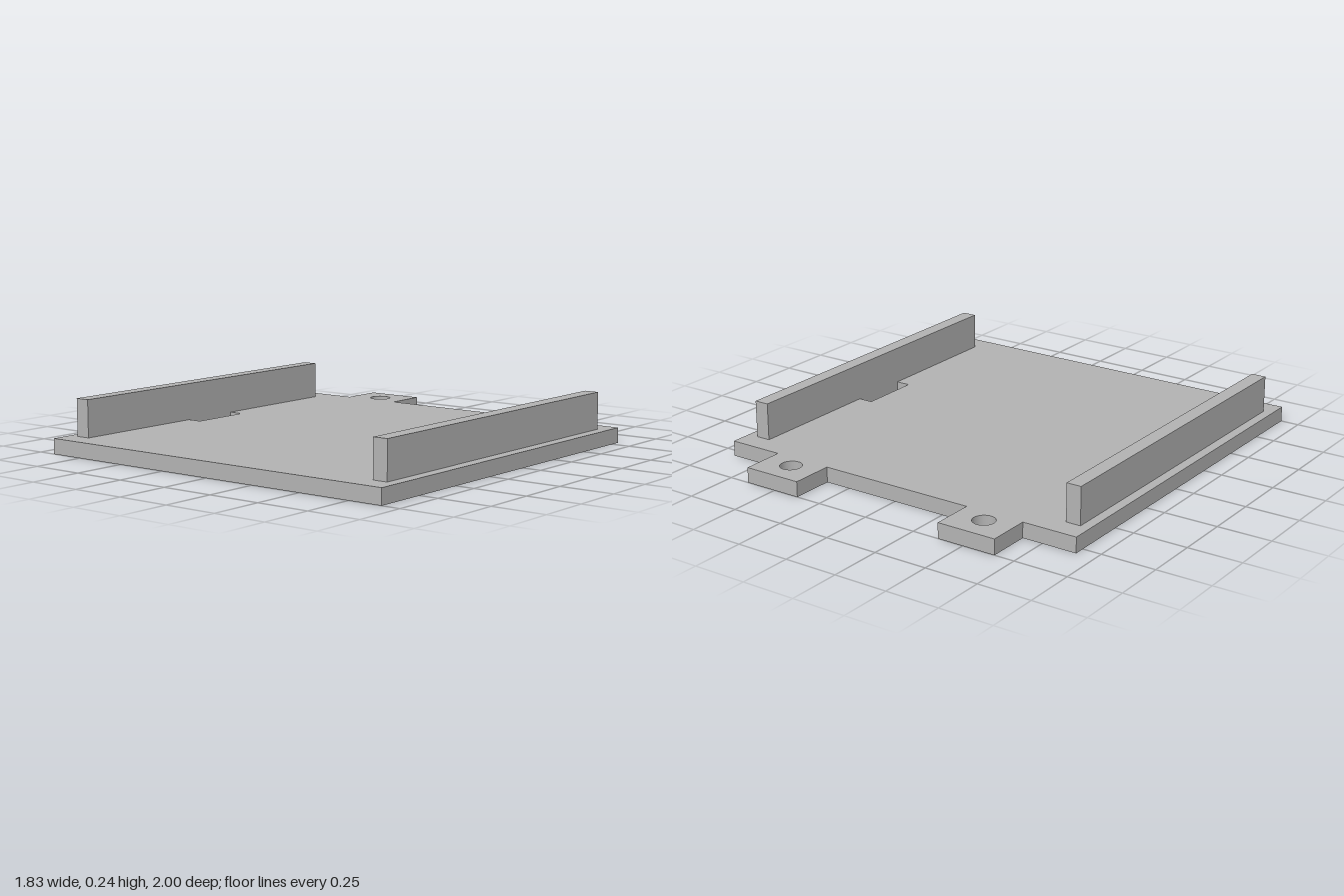
import * as THREE from 'three';

const PLATE_H = 0.071, RAIL_TOP = 0.243;

// Rectangular hole; shape coordinates are (x, -z)
function rectHole(x0, x1, z0, z1) {
  return new THREE.Path([[x0, z0], [x1, z0], [x1, z1], [x0, z1]].map(([x, z]) => new THREE.Vector2(x, -z)));
}

function roundHole(x, z, r) {
  const path = new THREE.Path();
  path.absarc(x, -z, r, 0, Math.PI * 2, true);
  return path;
}

export function createModel() {
  const model = new THREE.Group();
  model.name = 'mountingTray';
  const grey = new THREE.MeshStandardMaterial({ color: 0xb2b2b2 });
  grey.name = 'grey';

  // Base plate with two rear tabs
  const outline = [
    [-0.913, 1], [0.913, 1], [0.913, -0.8],
    [0.651, -0.8], [0.651, -1], [0.371, -1], [0.371, -0.8],
    [-0.376, -0.8], [-0.376, -1], [-0.656, -1], [-0.656, -0.8],
    [-0.913, -0.8],
  ];
  const shape = new THREE.Shape(outline.map(([x, z]) => new THREE.Vector2(x, -z)));

  // Screw holes in the tabs, slots beside the rails
  shape.holes.push(
    roundHole(-0.516, -0.874, 0.05), roundHole(0.511, -0.874, 0.05),
    rectHole(-0.799, -0.73, -0.047, 0.244), rectHole(0.725, 0.794, -0.047, 0.244),
  );
  const plateGeo = new THREE.ExtrudeGeometry(shape, { depth: PLATE_H, bevelEnabled: false, curveSegments: 32 });
  plateGeo.rotateX(-Math.PI / 2);
  const plate = new THREE.Mesh(plateGeo, grey);
  plate.name = 'basePlate';
  model.add(plate);

  // Side rails standing on the plate
  const railH = RAIL_TOP - PLATE_H;
  for (const [name, x] of [['rightRail', -0.8335], ['leftRail', 0.828]]) {
    const rail = new THREE.Mesh(new THREE.BoxGeometry(0.069, railH, 1.597), grey);
    rail.name = name;
    rail.position.set(x, PLATE_H + railH / 2, 0.0995);
    model.add(rail);
  }
  return model;
}
